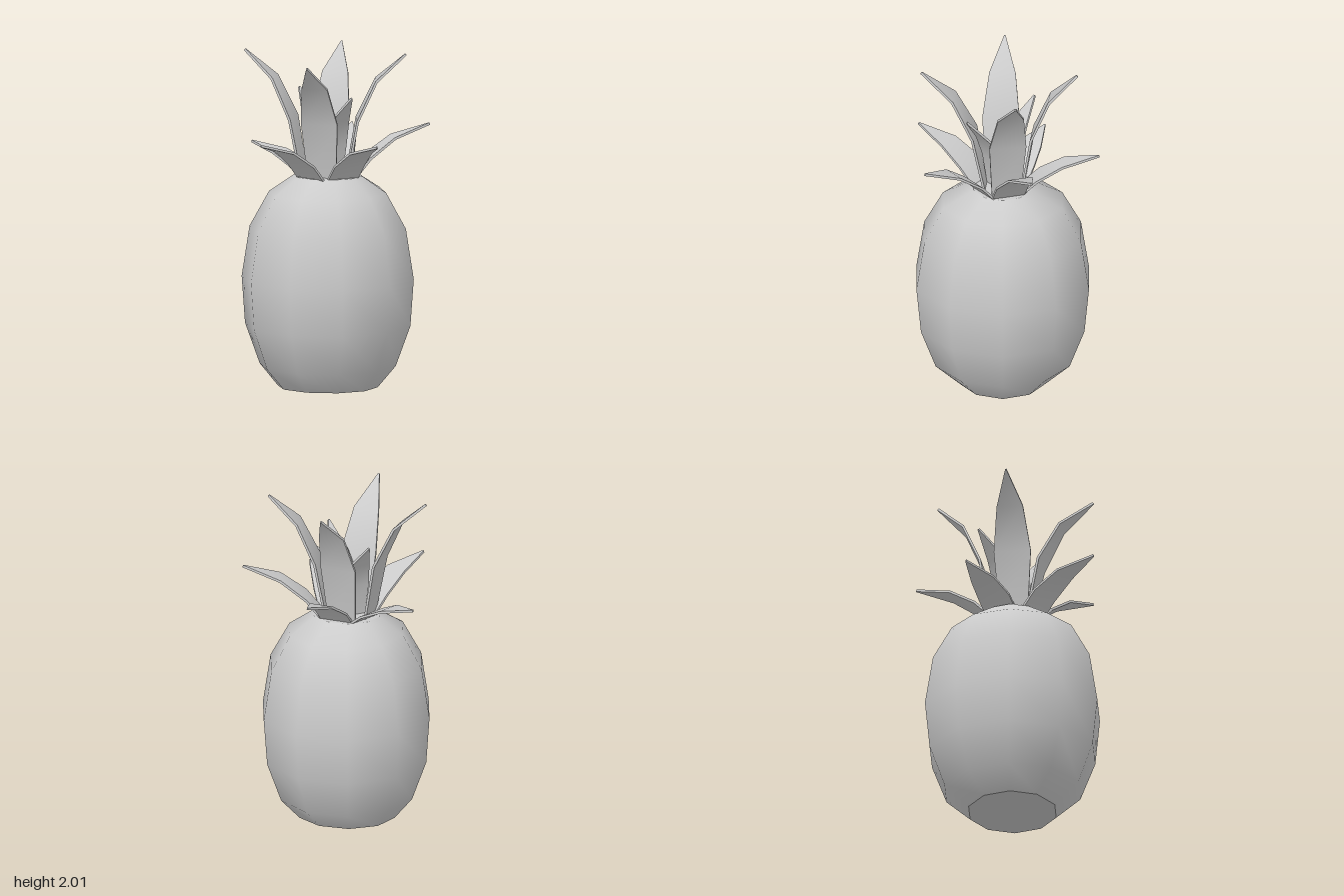
import * as THREE from 'three';

const material = new THREE.MeshStandardMaterial({ color: 0xcccccc });
const SIDES = 10;
const TOP = 1.26;

function addMesh(parent, name, geometry) {
  const mesh = new THREE.Mesh(geometry, material);
  mesh.name = name;
  parent.add(mesh);
  return mesh;
}

// Fruit: smooth ten-sided barrel; each ring is [radius, height, depth scale]
function createFruit() {
  const rings = [
    [0.297, 0, 0.9], [0.405, 0.13, 1.025], [0.492, 0.37, 1.03], [0.512, 0.65, 1.045],
    [0.465, 0.95, 1.045], [0.349, 1.16, 1.06], [0.204, TOP, 0.88],
  ];
  const fruit = new THREE.Group();
  fruit.name = 'fruit';
  const skin = new THREE.LatheGeometry(
    rings.map(([r, y]) => new THREE.Vector2(r, y)), SIDES, Math.PI / 2);
  const pos = skin.attributes.position;
  for (let i = 0; i < pos.count; i++) {
    pos.setZ(i, pos.getZ(i) * rings[i % rings.length][2]);
  }
  addMesh(fruit, 'fruitSkin', skin);

  // Flat caps closing the bottom and top rings
  const caps = [['fruitBase', rings[0], 1], ['fruitTop', rings[rings.length - 1], -1]];
  for (const [name, [r, y, depth], turn] of caps) {
    const cap = new THREE.CircleGeometry(r, SIDES);
    cap.rotateX(turn * Math.PI / 2).scale(1, 1, depth).translate(0, y, 0);
    addMesh(fruit, name, cap);
  }
  fruit.position.set(-0.04, 0, 0.03);
  return fruit;
}

// Leaf rows: [outward fraction, height fraction, half width]
const TALL = [[0, 0, 0.085], [0.18, 0.47, 0.11], [0.5, 0.79, 0.078], [1, 1, 0.004]];
const LOW = [[0, 0, 0.1], [0.2, 0.38, 0.1], [0.53, 0.76, 0.075], [1, 1, 0.004]];
const INNER = [[0, 0, 0.085], [0.12, 0.4, 0.098], [0.45, 0.7, 0.065], [1, 1, 0.004]];

// Thin slab bent along the rows from a root [x, z] on the fruit to a tip [x, y, z]
function leafGeometry(rows, [rx, rz], [tx, ty, tz], thickness = 0.014) {
  const n = rows.length - 1;
  const out = new THREE.Vector3(tx - rx, 0, tz - rz);
  const across = new THREE.Vector3(out.z, 0, -out.x).normalize();
  const path = rows.map(([u, v]) => new THREE.Vector3(
    rx + out.x * u, TOP - 0.01 + (ty - TOP + 0.01) * v, rz + out.z * u));
  const normals = path.map((p, i) => {
    const along = path[Math.min(i + 1, n)].clone().sub(path[Math.max(i - 1, 0)]);
    return across.clone().cross(along).normalize();
  });
  const geometry = new THREE.BoxGeometry(2, 1, 1, 1, n, 1);
  const pos = geometry.attributes.position;
  const p = new THREE.Vector3();
  for (let i = 0; i < pos.count; i++) {
    const row = Math.round((pos.getY(i) + 0.5) * n);
    p.copy(path[row])
      .addScaledVector(across, pos.getX(i) * rows[row][2])
      .addScaledVector(normals[row], pos.getZ(i) * thickness);
    pos.setXYZ(i, p.x, p.y, p.z);
  }
  geometry.computeVertexNormals();
  return geometry;
}

// Crown: a ring of upright leaves, a ring of spreading leaves and two in the middle
function createCrown() {
  const crown = new THREE.Group();
  crown.name = 'crown';
  const leaves = [
    ['tallLeafBack', TALL, [-0.05, -0.09], [-0.015, 1.99, -0.41]],
    ['tallLeafLeft', TALL, [0.07, 0.01], [0.415, 1.98, -0.045]],
    ['tallLeafFront', TALL, [-0.06, 0.13], [-0.1, 1.97, 0.51]],
    ['tallLeafRight', TALL, [-0.18, 0.045], [-0.535, 2, 0.015]],
    ['lowLeafBack', LOW, [-0.02, -0.09], [0.03, 1.485, -0.54]],
    ['lowLeafLeft', LOW, [0.1, 0], [0.545, 1.555, -0.14]],
    ['lowLeafFrontLeft', LOW, [0.06, 0.13], [0.315, 1.505, 0.49]],
    ['lowLeafFrontRight', LOW, [-0.12, 0.15], [-0.37, 1.505, 0.525]],
    ['lowLeafBackRight', LOW, [-0.15, -0.03], [-0.525, 1.415, -0.22]],
    ['innerLeafBack', INNER, [-0.075, 0.015], [-0.235, 1.755, -0.16]],
    ['innerLeafFront', INNER, [-0.025, 0.06], [0.13, 1.755, 0.24]],
  ];
  for (const [name, rows, root, tip] of leaves) {
    addMesh(crown, name, leafGeometry(rows, root, tip));
  }
  return crown;
}

export function createModel() {
  const model = new THREE.Group();
  model.name = 'pineapple';
  model.add(createFruit(), createCrown());
  return model;
}
